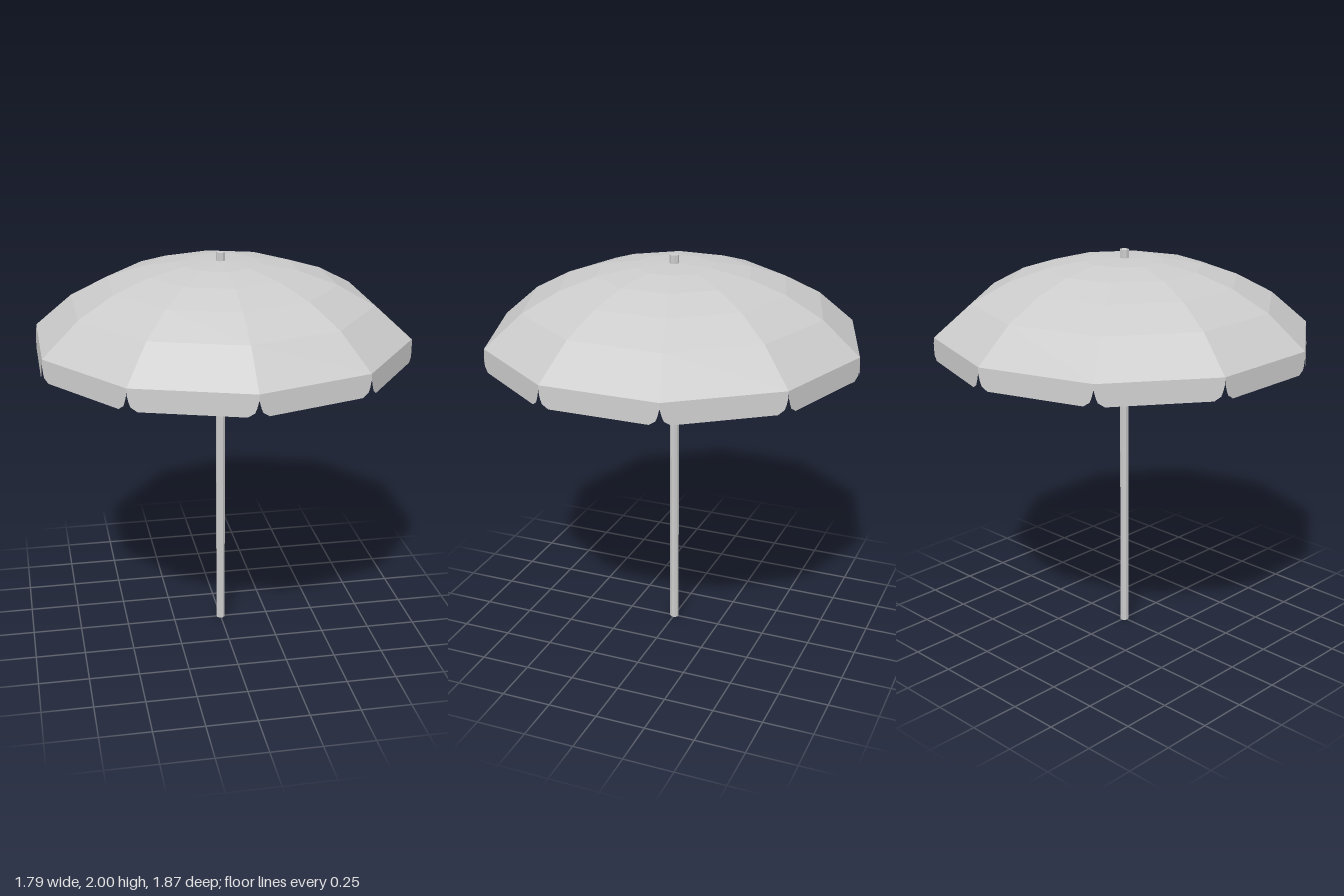
import * as THREE from 'three';

const SIDES = 10;
const RIM_RADIUS = 0.935;
const RIM_Y = 1.6;

export function createModel() {
  const group = new THREE.Group();
  const poleMaterial = new THREE.MeshStandardMaterial({ color: 0xcccccc, flatShading: true });
  const clothMaterial = new THREE.MeshStandardMaterial({
    color: 0xcccccc, flatShading: true, side: THREE.DoubleSide,
  });

  // Octagonal pole running through the canopy to a short tip
  const pole = new THREE.Mesh(
    new THREE.CylinderGeometry(0.023, 0.023, 2, 8, 1, false, Math.PI / 8), poleMaterial);
  pole.name = 'pole';
  pole.position.y = 1;
  group.add(pole);

  // Ten-sided domed canopy, corners pointing to front and back
  const profile = [
    [RIM_RADIUS, RIM_Y], [0.75, 1.76], [0.567, 1.858], [0.385, 1.918], [0.197, 1.95], [0, 1.96],
  ].map(([r, y]) => new THREE.Vector2(r, y));
  const canopy = new THREE.Mesh(new THREE.LatheGeometry(profile, SIDES), clothMaterial);
  canopy.name = 'canopy';
  group.add(canopy);

  // Hanging valance flap with notched, rounded lower corners
  const half = RIM_RADIUS * Math.sin(Math.PI / SIDES);
  const apothem = RIM_RADIUS * Math.cos(Math.PI / SIDES);
  const edge = [
    [half, 0], [half, -0.03], [half - 0.009, -0.065], [half - 0.017, -0.085], [half - 0.048, -0.105],
  ];
  const outline = [
    ...edge.map(([x, y]) => new THREE.Vector2(x, y)),
    ...edge.map(([x, y]) => new THREE.Vector2(-x, y)).reverse(),
  ];
  const flapGeometry = new THREE.ShapeGeometry(new THREE.Shape(outline));
  flapGeometry.rotateX(-0.07); // slight outward flare
  flapGeometry.translate(0, RIM_Y, apothem);

  const valance = new THREE.Group();
  valance.name = 'valance';
  for (let i = 0; i < SIDES; i++) {
    const flap = new THREE.Mesh(flapGeometry, clothMaterial);
    flap.name = 'valanceFlap';
    flap.rotation.y = ((i + 0.5) / SIDES) * Math.PI * 2;
    valance.add(flap);
  }
  group.add(valance);

  return group;
}
